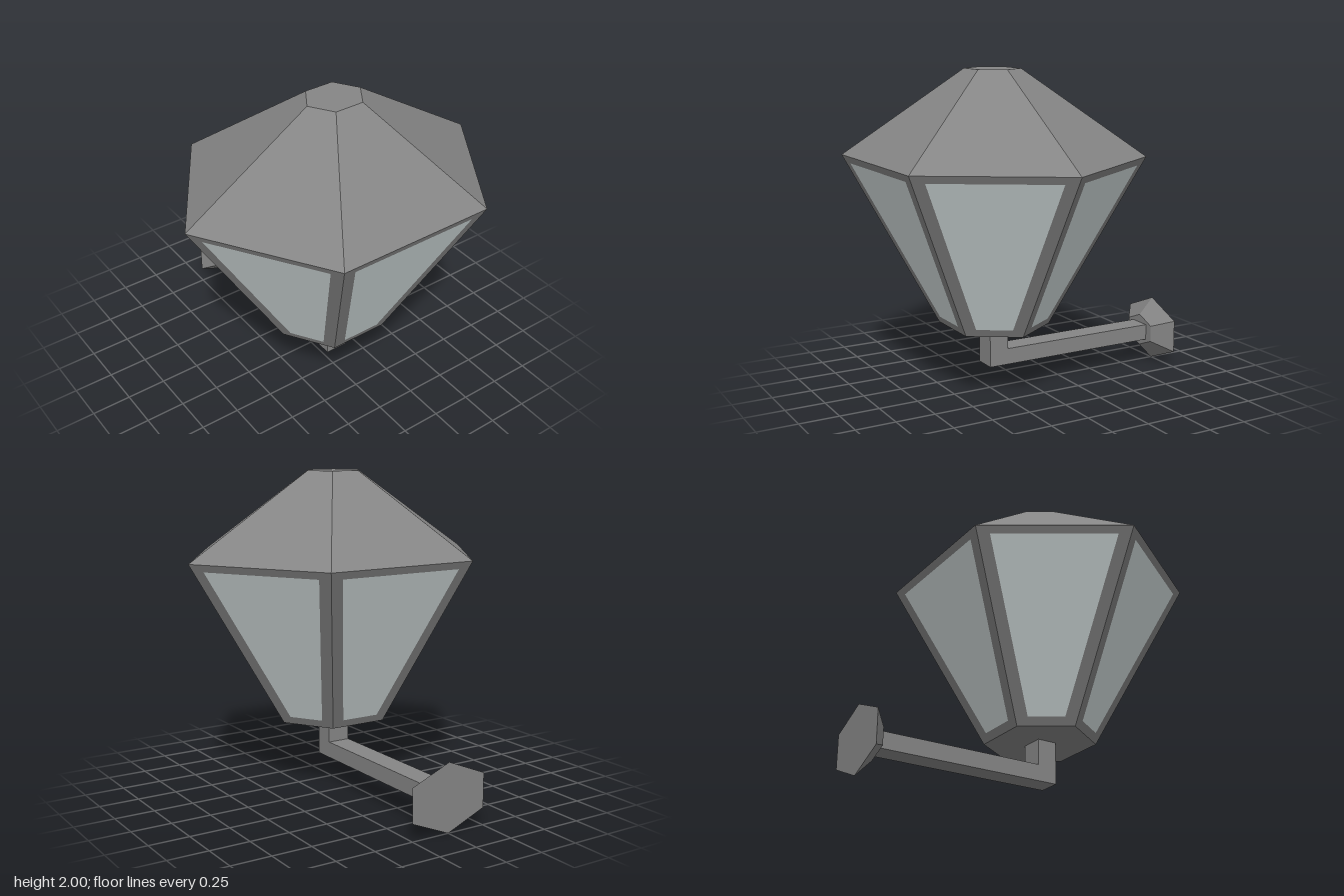
import * as THREE from 'three';

const LAMP_Z = 0.22, SQUASH = 0.9;
const RIM_Y = 1.475, RIM_R = 1, BASE_Y = 0.425, BASE_R = 0.37;

const metal = new THREE.MeshStandardMaterial({ color: 0x858585, flatShading: true });
const glass = new THREE.MeshStandardMaterial({ color: 0xd6e0e0, flatShading: true });

function add(group, name, geometry, material) {
  const mesh = new THREE.Mesh(geometry, material);
  mesh.name = name;
  group.add(mesh);
  return mesh;
}

// Corner i of the lantern's six-sided outline, one corner on each side
function corner(i, radius, y) {
  const a = Math.PI / 6 + (i * Math.PI) / 3;
  return new THREE.Vector3(Math.sin(a) * radius, y, Math.cos(a) * radius * SQUASH + LAMP_Z);
}

// Flat quads, corners counter-clockwise from outside
function quads(list) {
  const points = list.flatMap(([a, b, c, d]) => [a, b, c, a, c, d]);
  const geometry = new THREE.BufferGeometry().setFromPoints(points);
  geometry.computeVertexNormals();
  return geometry;
}

// Bottom-left, bottom-right, top-right, top-left of one lantern side
function sideCorners(i, t0, t1, inset) {
  const edge = (t) => {
    const l = corner(i, BASE_R, BASE_Y).lerp(corner(i, RIM_R, RIM_Y), t);
    const r = corner(i + 1, BASE_R, BASE_Y).lerp(corner(i + 1, RIM_R, RIM_Y), t);
    const step = r.clone().sub(l).setLength(inset);
    return [l.add(step), r.sub(step)];
  };
  const [bl, br] = edge(t0), [tl, tr] = edge(t1);
  return [bl, br, tr, tl];
}

export function createModel() {
  const model = new THREE.Group();
  model.name = 'wallLantern';

  // Roof: tapered six-sided cap with a flat top
  const roof = new THREE.CylinderGeometry(0.185, RIM_R, 2 - RIM_Y, 6, 1, false, Math.PI / 6);
  roof.scale(1, 1, SQUASH);
  roof.translate(0, (2 + RIM_Y) / 2, LAMP_Z);
  add(model, 'roof', roof, metal);

  // Six sides: metal border around a flush glass pane
  const sides = new THREE.Group();
  sides.name = 'lanternSides';
  model.add(sides);
  for (let i = 0; i < 6; i++) {
    const outer = sideCorners(i, 0, 1, 0);
    const inner = sideCorners(i, 0.047, 0.957, 0.075);
    const border = outer.map((p, k) => [p, outer[(k + 1) % 4], inner[(k + 1) % 4], inner[k]]);
    add(sides, 'frame' + (i + 1), quads(border), metal);
    add(sides, 'pane' + (i + 1), quads([inner]), glass);
  }

  // Floor of the lantern
  const floor = new THREE.CircleGeometry(BASE_R, 6);
  floor.rotateX(Math.PI / 2);
  floor.scale(1, 1, SQUASH);
  floor.translate(0, BASE_Y, LAMP_Z);
  add(model, 'lanternFloor', floor, metal);

  // L-shaped arm, outlined in (-z, y) and extruded across x
  const outline = [[-0.285, 0.162], [0.92, 0.162], [0.92, 0.264], [-0.16, 0.264], [-0.16, BASE_Y], [-0.285, BASE_Y]];
  const armShape = new THREE.Shape(outline.map(([u, v]) => new THREE.Vector2(u, v)));
  const arm = new THREE.ExtrudeGeometry(armShape, { depth: 0.146, bevelEnabled: false });
  arm.translate(0, 0, -0.073);
  arm.rotateY(Math.PI / 2);
  add(model, 'arm', arm, metal);

  // Wall plate: tapered hexagon, point up, wide end against the wall
  const plate = new THREE.CylinderGeometry(0.105, 0.21, 0.1, 6);
  plate.rotateX(Math.PI / 2);
  plate.scale(0.252 / (0.21 * Math.cos(Math.PI / 6)), 1, 1);
  plate.translate(0, 0.213, -0.95);
  add(model, 'wallPlate', plate, metal);

  // Stand the lowest point on the ground
  model.position.y = -0.003;
  return model;
}
